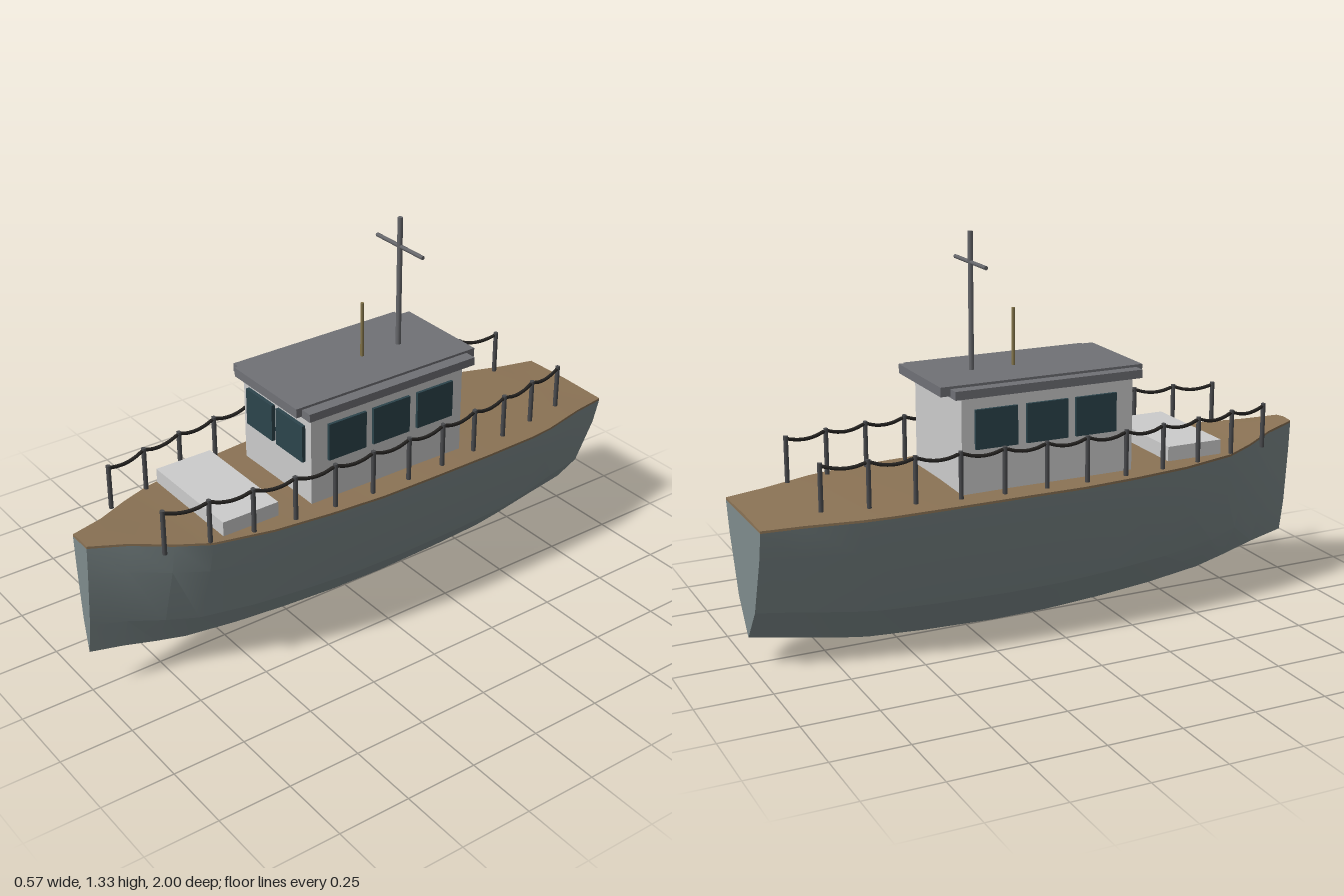
import * as THREE from 'three';
import { toCreasedNormals } from 'three/addons/utils/BufferGeometryUtils.js';

const mat = (color) => new THREE.MeshStandardMaterial({ color });
const M = {
  hull: mat(0x7f8c8d), deck: mat(0x8b7355), cabin: mat(0xcccccc), roof: mat(0x707176),
  glass: mat(0x2c444c), post: mat(0x4a4b4e), rope: mat(0x262422), mast: mat(0x66676b), aerial: mat(0x84754a),
};

// Hull stations: z, deck half width, keel height, sheer height
const STATIONS = [
  [-1, 0.183, 0.09, 0.503], [-0.87, 0.208, 0.067, 0.508], [-0.7, 0.255, 0.035, 0.515],
  [-0.6, 0.27, 0.02, 0.518], [-0.4, 0.281, 0.008, 0.522], [-0.15, 0.286, 0, 0.525],
  [0.05, 0.285, 0.003, 0.525], [0.25, 0.27, 0.015, 0.526], [0.45, 0.247, 0.033, 0.528],
  [0.65, 0.205, 0.06, 0.534], [0.76, 0.155, 0.088, 0.544], [0.88, 0.088, 0.122, 0.558],
  [1, 0.043, 0.15, 0.57],
];

// Skin a row of cross-sections (each a list of [x, y, z]) and close both ends
function loft(sections) {
  const n = sections[0].length, last = (sections.length - 1) * n, index = [];
  for (let i = 0; i < sections.length - 1; i++) {
    for (let j = 0; j < n - 1; j++) {
      const a = i * n + j, b = a + n;
      index.push(a, b, a + 1, b, b + 1, a + 1);
    }
  }
  for (let j = 1; j < n - 1; j++) {
    index.push(0, j, j + 1, last, last + j + 1, last + j);
  }
  const g = new THREE.BufferGeometry();
  g.setAttribute('position', new THREE.Float32BufferAttribute(sections.flat(2), 3));
  g.setIndex(index);
  return toCreasedNormals(g, 0.25);
}

function add(parent, name, geometry, material, x = 0, y = 0, z = 0) {
  const mesh = new THREE.Mesh(geometry, material);
  mesh.name = name;
  mesh.position.set(x, y, z);
  parent.add(mesh);
  return mesh;
}

// Box given by its extents on each axis
function box(parent, name, material, [x0, x1], [y0, y1], [z0, z1]) {
  return add(parent, name, new THREE.BoxGeometry(x1 - x0, y1 - y0, z1 - z0), material,
    (x0 + x1) / 2, (y0 + y1) / 2, (z0 + z1) / 2);
}

function pole(parent, name, material, r, x, y0, y1, z) {
  return add(parent, name, new THREE.CylinderGeometry(r, r, y1 - y0, 8), material, x, (y0 + y1) / 2, z);
}

function group(parent, name) {
  const g = new THREE.Group();
  g.name = name;
  parent.add(g);
  return g;
}

function buildHull(boat) {
  // Keel, chine, topside knuckle and sheer on each side
  const hull = STATIONS.map(([z, w, keel, top]) => {
    const y = (t) => keel + (top - 0.008 - keel) * t;
    const side = [[w, y(1)], [w * 0.87, y(0.76)], [w * 0.47, y(0.28)]];
    return [...side, [0, keel], ...side.map(([x, h]) => [-x, h]).reverse()].map(([x, h]) => [x, h, z]);
  });
  add(boat, 'hull', loft(hull), M.hull);

  // Thin, slightly crowned planking
  const deck = STATIONS.map(([z, w, , top]) => [
    [-w, top - 0.008, z], [-w, top, z], [0, top + 0.004, z], [w, top, z], [w, top - 0.008, z],
  ]);
  add(boat, 'deck', loft(deck), M.deck);
}

function buildCabin(boat) {
  const cabin = group(boat, 'cabin');
  box(cabin, 'cabinWalls', M.cabin, [-0.19, 0.19], [0.52, 0.85], [-0.34, 0.27]);

  // Roof of two overlapping slabs
  box(cabin, 'roofLower', M.roof, [-0.216, 0.216], [0.843, 0.871], [-0.37, 0.292]);
  box(cabin, 'roofUpper', M.roof, [-0.175, 0.175], [0.848, 0.879], [-0.403, 0.314]);

  for (const s of [-1, 1]) {
    add(cabin, 'frontWindow', new THREE.BoxGeometry(0.148, 0.13, 0.02), M.glass, s * 0.085, 0.735, 0.273);
    for (const z of [0.133, -0.043, -0.222]) {
      add(cabin, 'sideWindow', new THREE.BoxGeometry(0.02, 0.13, 0.147), M.glass, s * 0.19, 0.735, z);
    }
  }
}

function buildRailing(boat, s) {
  const rail = group(boat, s > 0 ? 'leftRailing' : 'rightRailing');
  const posts = 12, path = [];
  const at = (t) => {
    const z = 0.8 - 1.6 * t;
    return [s * (0.255 - 0.09 * (z / 0.8) ** 2), z];
  };
  for (let i = 0; i < posts; i++) {
    const [x, z] = at(i / (posts - 1));
    pole(rail, 'railPost', M.post, 0.008, x, 0.53, 0.686, z);
  }
  // Rope sagging between the posts
  const steps = (posts - 1) * 4;
  for (let k = 0; k <= steps; k++) {
    const [x, z] = at(k / steps);
    path.push(new THREE.Vector3(x, 0.677 - 0.014 * Math.sin((k % 4) / 4 * Math.PI), z));
  }
  add(rail, 'railRope', new THREE.TubeGeometry(new THREE.CatmullRomCurve3(path), 132, 0.006, 6), M.rope);
}

export function createModel() {
  const boat = new THREE.Group();
  boat.name = 'boat';
  buildHull(boat);
  buildCabin(boat);
  box(boat, 'foredeckHatch', M.cabin, [-0.2, 0.2], [0.54, 0.59], [0.405, 0.61]);
  for (const s of [-1, 1]) buildRailing(boat, s);

  // Mast with yard, and a short aerial
  const mast = group(boat, 'mast');
  pole(mast, 'mastPole', M.mast, 0.009, 0, 0.87, 1.33, -0.22);
  const yard = pole(mast, 'mastYard', M.mast, 0.007, 0, 1.11, 1.35, -0.22);
  yard.rotation.z = Math.PI / 2;
  pole(boat, 'aerial', M.aerial, 0.006, 0, 0.875, 1.07, -0.07);
  return boat;
}
